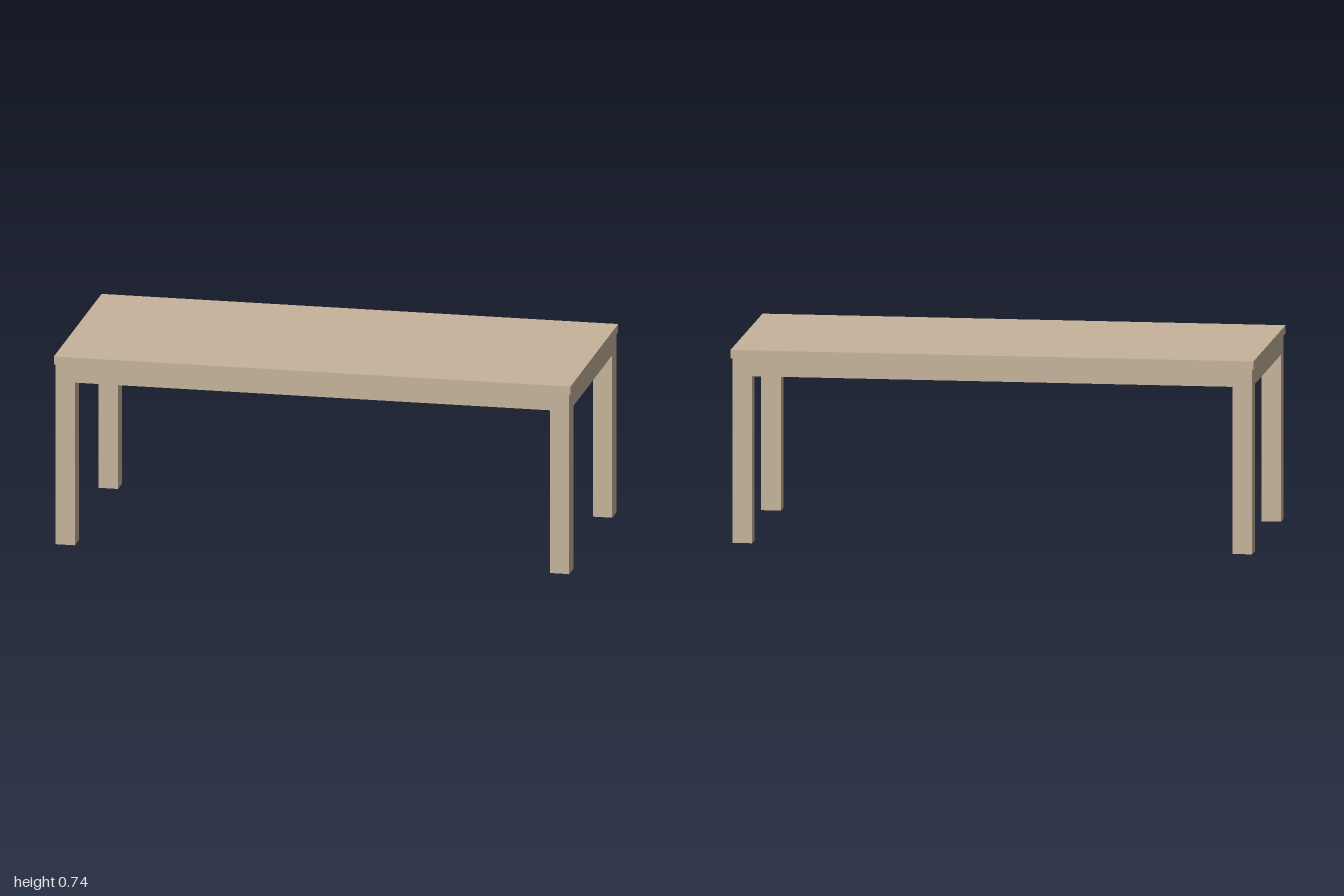
import * as THREE from 'three';

export function createModel() {
  const table = new THREE.Group();
  table.name = 'table';
  const wood = new THREE.MeshStandardMaterial({ color: 0xc6b39b });
  wood.name = 'pale wood';

  const HALF_X = 0.994, HALF_Z = 0.432; // outer faces of the legs
  const LEG = 0.075, UNDERSIDE = 0.709, TOP = 0.741;
  const APRON_BOTTOM = 0.641, APRON_THICK = 0.018;

  // Box given by its size, centre x and z, and bottom height
  function addBox(name, w, h, d, x, bottom, z) {
    const mesh = new THREE.Mesh(new THREE.BoxGeometry(w, h, d), wood);
    mesh.name = name;
    mesh.position.set(x, bottom + h / 2, z);
    table.add(mesh);
  }

  addBox('tabletop', 2, TOP - UNDERSIDE, 0.877, 0, UNDERSIDE, 0);

  // Legs at the four corners
  for (const [sideX, nameX] of [[1, 'Left'], [-1, 'Right']]) {
    for (const [sideZ, nameZ] of [[1, 'front'], [-1, 'back']]) {
      addBox(nameZ + nameX + 'Leg', LEG, UNDERSIDE, LEG,
        sideX * (HALF_X - LEG / 2), 0, sideZ * (HALF_Z - LEG / 2));
    }
  }

  // Thin aprons between the legs, flush with their outer faces
  const apronHeight = UNDERSIDE - APRON_BOTTOM;
  for (const [side, longName, shortName] of [[1, 'frontApron', 'leftApron'], [-1, 'backApron', 'rightApron']]) {
    addBox(longName, 2 * (HALF_X - LEG), apronHeight, APRON_THICK,
      0, APRON_BOTTOM, side * (HALF_Z - APRON_THICK / 2));
    addBox(shortName, APRON_THICK, apronHeight, 2 * (HALF_Z - LEG),
      side * (HALF_X - APRON_THICK / 2), APRON_BOTTOM, 0);
  }

  return table;
}
